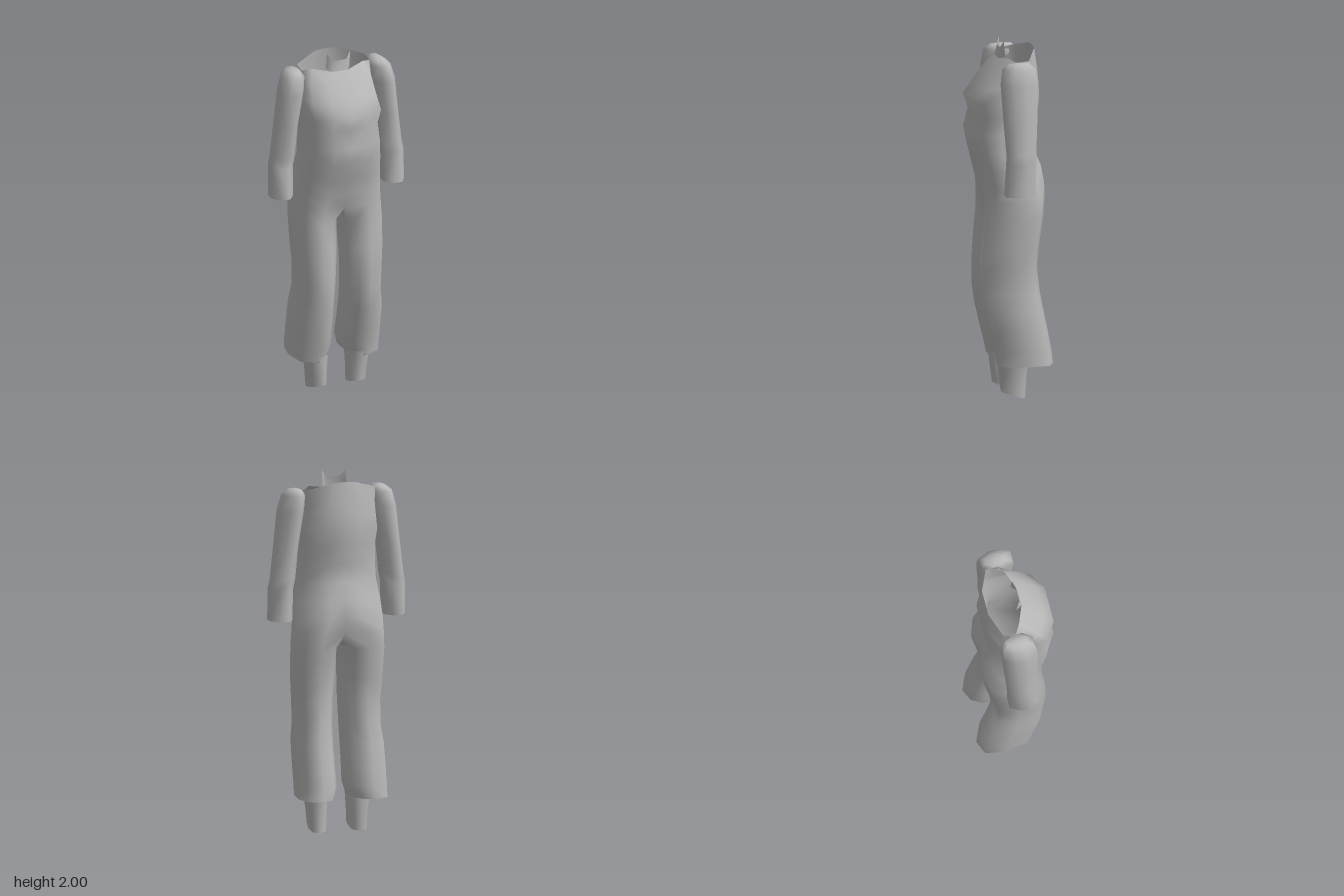
import * as THREE from 'three';
import { mergeVertices } from 'three/addons/utils/BufferGeometryUtils.js';

const fabric = new THREE.MeshStandardMaterial({ color: 0xb8b8b8, side: THREE.DoubleSide });
fabric.name = 'grey fabric';

// Cross-section templates: [across 0 inner..1 outer, depth 0 back..1 front]
const TORSO = [[0, 1], [0.45, 1], [0.89, 0.85], [1, 0.6], [0.95, 0.2], [0.4, 0], [0, 0]];
const LEG = [[0.18, 0.9], [0.5, 1], [0.88, 0.87], [1, 0.45], [0.9, 0.1], [0.5, 0], [0.16, 0.1],
  [0, 0.28], [0, 0.5], [0, 0.75]];
const ARM = [[0.28, 1], [0.75, 1], [1, 0.7], [1, 0.35], [0.75, 0], [0.28, 0], [0, 0.3], [0, 0.7]];

// One ring from y, inner x, outer x, front z, back z; tilt lifts the front edge
function ring(template, [y, xi, xo, zf, zb], tilt = 0) {
  return template.map(([u, v]) => [xi + (xo - xi) * u, y + tilt * v, zb + (zf - zb) * v]);
}

// Skin a list of rings from top to bottom as loose triangles
function skin(rings, closed, out = []) {
  for (let i = 0; i < rings.length - 1; i++) {
    const n = rings[i].length;
    for (let j = 0; j < (closed ? n : n - 1); j++) {
      const k = (j + 1) % n;
      const a = rings[i][j], b = rings[i][k], c = rings[i + 1][j], d = rings[i + 1][k];
      out.push(a, c, b, b, c, d);
    }
  }
  return out;
}

// Copy triangles to the other side of x = 0 and restore their winding
function mirror(tris) {
  const out = [];
  for (let i = 0; i < tris.length; i += 3)
    for (const k of [0, 2, 1]) out.push([-tris[i + k][0], tris[i + k][1], tris[i + k][2]]);
  return out;
}

function mesh(name, tris) {
  let geo = new THREE.BufferGeometry();
  geo.setAttribute('position', new THREE.Float32BufferAttribute(tris.flat(), 3));
  geo = mergeVertices(geo, 1e-4);
  geo.computeVertexNormals();
  const m = new THREE.Mesh(geo, fabric);
  m.name = name;
  return m;
}

export function createModel() {
  const model = new THREE.Group();
  model.name = 'jumpsuit';

  // Neck opening, low in front and high behind
  const neck = [[0, 1.9, 0.06], [0.045, 1.9, 0.06], [0.15, 1.92, 0.02], [0.2, 1.905, -0.01],
    [0.2, 1.915, -0.08], [0.07, 1.955, -0.135], [0, 1.96, -0.135]];

  // Torso half: y, outer x, front z, back z, front crease, back cleft
  const torso = [
    [1.84, 0.2, 0.115, -0.15, 0, 0], [1.76, 0.21, 0.175, -0.157, 0, 0],
    [1.68, 0.222, 0.228, -0.16, 0, 0], [1.6, 0.208, 0.202, -0.15, 0, 0],
    [1.5, 0.213, 0.228, -0.138, 0, 0], [1.4, 0.222, 0.208, -0.125, 0, 0],
    [1.3, 0.233, 0.182, -0.168, 0.005, 0.01], [1.2, 0.242, 0.158, -0.186, 0.012, 0.025],
  ].map(([y, w, f, b, crease, cleft]) => {
    const r = ring(TORSO, [y, 0, w, f, b]);
    r[0][2] -= crease;
    r[6][2] += cleft;
    return r;
  });
  const hip = torso[torso.length - 1];
  const bodyHalf = skin([neck, ...torso], false);

  // The seam at the centre stays joined a little below the hip
  const groin = ring(LEG, [1.12, 0, 0.25, 0.152, -0.182]).slice(0, 7);
  groin[0] = [0, 1.12, 0.135];
  groin[6] = [0, 1.12, -0.145];
  skin([hip, groin], false, bodyHalf);

  // Leg: closed between by the crotch, then follows the trouser down
  const crotch = [[0, 1.06, -0.1], [0, 1.04, -0.02], [0, 1.07, 0.07]];
  const trouser = [
    [1.03, 0.026, 0.254, 0.15, -0.173], [0.86, 0.032, 0.25, 0.165, -0.148],
    [0.74, 0.038, 0.24, 0.172, -0.136], [0.6, 0.044, 0.234, 0.172, -0.152],
    [0.5, 0.045, 0.249, 0.157, -0.17], [0.38, 0.044, 0.251, 0.13, -0.195],
    [0.27, 0.04, 0.252, 0.103, -0.216], [0.2, 0.058, 0.25, 0.088, -0.224],
  ].map(p => ring(LEG, p));
  skin([[...groin, ...crotch], ...trouser], true, bodyHalf);
  model.add(mesh('body', [...bodyHalf, ...mirror(bodyHalf)]));

  // Small upright collar with a raised point at each side
  const collarTop = [[-0.068, 2, 0.035], [-0.04, 1.96, 0.05], [0.04, 1.96, 0.05], [0.068, 2, 0.035]];
  const collarBase = [[-0.07, 1.91, 0.025], [-0.045, 1.9, 0.06], [0.045, 1.9, 0.06], [0.07, 1.91, 0.025]];
  model.add(mesh('collar', skin([collarTop, collarBase], false)));

  // Underside of each trouser cuff, and the narrow ankle below it
  const cuffEdge = trouser[trouser.length - 1];
  const cuff = skin([cuffEdge, ring(LEG, [0.195, 0.065, 0.185, 0.08, -0.09])], true);
  const ankle = skin([
    ring(LEG, [0.22, 0.063, 0.187, 0.083, -0.092]),
    ring(LEG, [0.12, 0.068, 0.172, 0.072, -0.082]),
    ring(LEG, [0, 0.07, 0.165, 0.062, -0.075], 0.042),
  ], true);

  // Arm: rounded shoulder, slight pinch at the elbow, open wrist
  const armRings = [
    [1.912, 0.212, 0.275, 0.04, -0.075], [1.885, 0.196, 0.31, 0.075, -0.1],
    [1.8, 0.203, 0.335, 0.088, -0.105], [1.6, 0.236, 0.357, 0.078, -0.1],
    [1.42, 0.252, 0.379, 0.065, -0.09], [1.37, 0.263, 0.389, 0.068, -0.088],
    [1.19, 0.267, 0.39, 0.08, -0.086],
  ].map(p => ring(ARM, p));
  const crown = ARM.map(() => [0.243, 1.915, -0.018]);
  const arm = skin([crown, ...armRings], true);

  for (const [name, tris] of [['Cuff', cuff], ['Ankle', ankle], ['Arm', arm]]) {
    model.add(mesh('left' + name, tris), mesh('right' + name, mirror(tris)));
  }
  return model;
}
